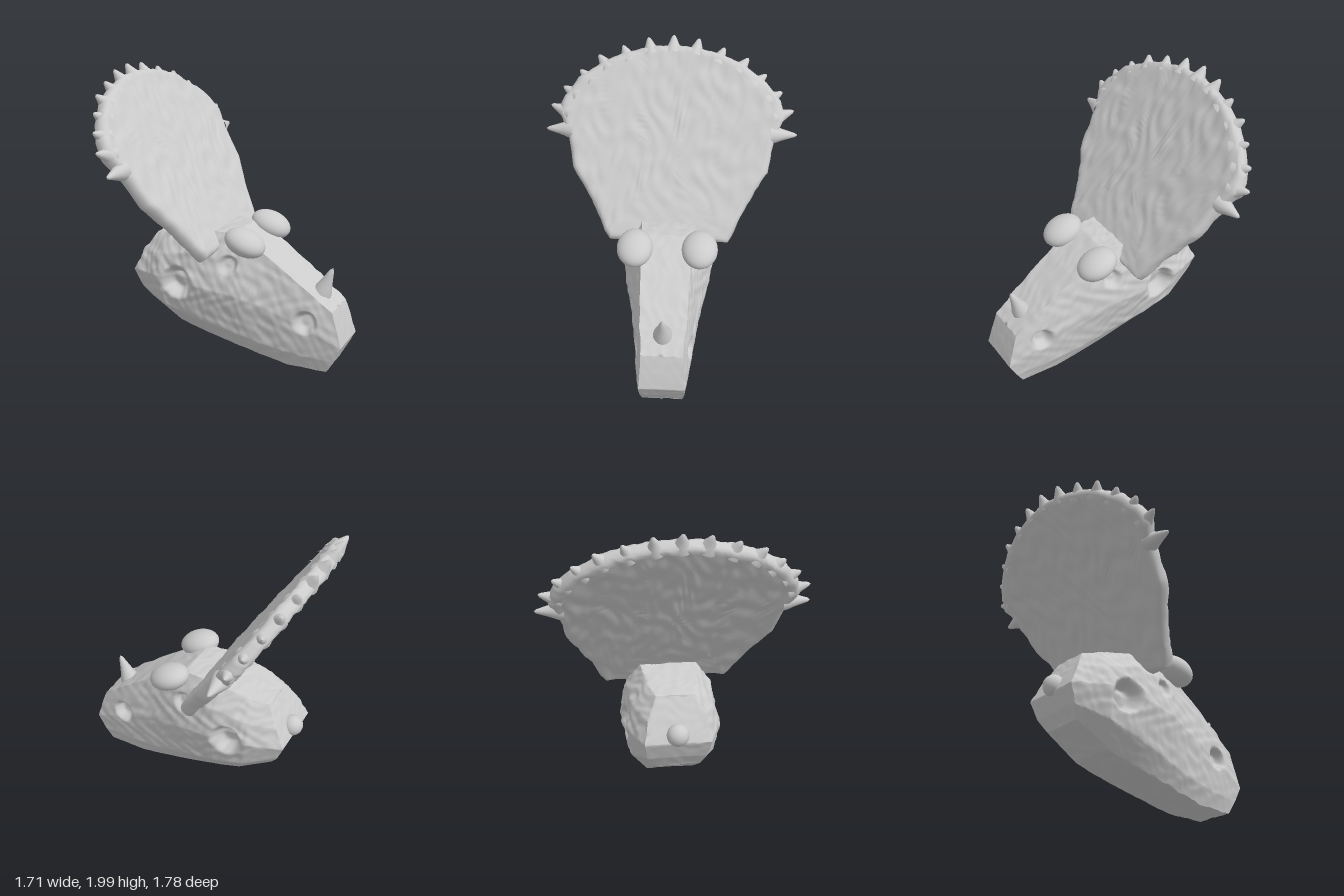
import * as THREE from 'three';
import { toCreasedNormals } from 'three/addons/utils/BufferGeometryUtils.js';

const grey = new THREE.MeshStandardMaterial({ color: 0xcccccc });
const V = (x, y, z) => new THREE.Vector3(x, y, z);

// Smooth pseudo-noise for the hand-worked bone surface
const bump = (x, y, z) =>
  Math.sin(31 * x + 3 * Math.sin(17 * y + 5 * z)) * Math.sin(29 * y + 3 * Math.sin(19 * z)) * 0.6 +
  Math.sin(53 * z + 3 * Math.sin(23 * x)) * Math.sin(47 * y + 37 * x + 2 * Math.sin(31 * z)) * 0.5;

// Skin a list of closed rings of equal length
function skin(rings, crease) {
  const n = rings[0].length, index = [];
  for (let i = 0; i < rings.length - 1; i++) {
    for (let j = 0; j < n; j++) {
      const a = i * n + j, b = i * n + (j + 1) % n;
      index.push(a, b, a + n, b, b + n, a + n);
    }
  }
  const geo = new THREE.BufferGeometry().setFromPoints(rings.flat());
  geo.setIndex(index);
  return toCreasedNormals(geo, crease);
}

// Split every edge of a closed polygon into equal steps
function subdivide(points, steps) {
  const out = [];
  points.forEach((p, i) => {
    const q = points[(i + 1) % points.length];
    for (let k = 0; k < steps; k++) out.push(p.clone().lerp(q, k / steps));
  });
  return out;
}

function add(parent, name, geo) {
  const mesh = new THREE.Mesh(geo, grey);
  mesh.name = name;
  parent.add(mesh);
  return mesh;
}

// Skull sections from back to snout: [x, y, half width] from top edge to bottom edge
const SECTIONS = [
  [[-0.55, 0.84, 0.13], [-0.63, 0.7, 0.19], [-0.7, 0.56, 0.22], [-0.65, 0.44, 0.2], [-0.6, 0.36, 0.16]],
  [[-0.42, 0.87, 0.17], [-0.45, 0.73, 0.27], [-0.46, 0.58, 0.32], [-0.42, 0.36, 0.28], [-0.35, 0.21, 0.17]],
  [[-0.2, 0.92, 0.19], [-0.2, 0.78, 0.29], [-0.2, 0.56, 0.335], [-0.2, 0.3, 0.28], [-0.2, 0.165, 0.17]],
  [[0.08, 0.93, 0.18], [0.08, 0.74, 0.26], [0.08, 0.52, 0.3], [0.08, 0.22, 0.24], [0.08, 0.1, 0.17]],
  [[0.32, 0.79, 0.17], [0.32, 0.66, 0.2], [0.32, 0.45, 0.24], [0.32, 0.15, 0.21], [0.32, 0.045, 0.16]],
  [[0.6, 0.59, 0.16], [0.6, 0.5, 0.18], [0.6, 0.33, 0.2], [0.6, 0.11, 0.18], [0.47, 0.012, 0.15]],
  [[0.78, 0.45, 0.14], [0.82, 0.33, 0.15], [0.855, 0.21, 0.16], [0.8, 0.1, 0.155], [0.75, 0.01, 0.14]],
];
// Side openings: x, y, radius, depth
const PITS = [[-0.31, 0.55, 0.13, 0.1], [0.06, 0.72, 0.075, 0.05], [0.6, 0.365, 0.09, 0.07]];

function skullGeometry() {
  const loops = SECTIONS.map(s => subdivide([
    ...s.map(([x, y, w]) => V(x, y, w)),
    ...s.slice().reverse().map(([x, y, w]) => V(x, y, -w)),
  ], 20));
  const rings = [];
  const cap = (loop, t) => loop.map(p => V(p.x, p.y, p.z * t));
  for (let t = 0; t < 10; t++) rings.push(cap(loops[0], t / 10));
  for (let i = 0; i < loops.length - 1; i++) {
    for (let k = 0; k < 24; k++) rings.push(loops[i].map((p, j) => p.clone().lerp(loops[i + 1][j], k / 24)));
  }
  for (let t = 10; t >= 0; t--) rings.push(cap(loops[loops.length - 1], t / 10));

  for (const p of rings.flat()) {
    const b = bump(p.x, p.y, p.z);
    // Press the openings into both cheeks
    if (Math.abs(p.z) > 0.12) {
      for (const [x, y, r, depth] of PITS) {
        const d = Math.hypot(p.x - x, p.y - y) / r;
        p.z -= Math.sign(p.z) * depth * (1 - THREE.MathUtils.smoothstep(d, 0.4, 1));
      }
    }
    p.z *= 1 + 0.025 * b;
    p.y = Math.max(0, p.y + 0.005 * b);
  }
  return skin(rings, 0.9);
}

// Half outline of the frill: [z, distance up the frill]
const FRILL = [[0, 1.38], [0.17, 1.36], [0.34, 1.32], [0.5, 1.25], [0.66, 1.13], [0.76, 1.01], [0.8, 0.89],
  [0.73, 0.74], [0.69, 0.5], [0.55, 0.27], [0.45, 0.05], [0.42, 0], [0, 0]];

function frillGeometry() {
  const half = FRILL.map(([z, s]) => V(0, s, z));
  const mirror = half.slice(1, -1).reverse().map(p => V(0, p.y, -p.z));
  const outline = subdivide([...half, ...mirror], 7);
  const centre = V(0, 0.68, 0);
  // Scale and offset of each ring: back face, rounded rim, front face
  const profile = [];
  for (let i = 0; i <= 30; i++) profile.push([0.96 * i / 30, -0.052]);
  profile.push([0.985, -0.042], [1, -0.02], [1, 0.02], [0.985, 0.042]);
  for (let i = 30; i >= 0; i--) profile.push([0.96 * i / 30, 0.052]);
  const rings = profile.map(([k, h]) => outline.map(p => {
    const q = centre.clone().lerp(p, k);
    const b = bump(q.z + h, q.y * 0.6, q.z * 0.8 + h);
    return V(h + 0.007 * b, q.y + 0.006 * b * k, q.z + 0.006 * b * k);
  }));
  return skin(rings, 1.2);
}

// Pointed horn along +y with a flared base
function hornGeometry(radius, length) {
  const profile = [[1.3, -0.35], [1.15, -0.1], [0.88, 0.15], [0.66, 0.4], [0.46, 0.65], [0.27, 0.88], [0, 1]];
  return new THREE.LatheGeometry(profile.map(([r, h]) => new THREE.Vector2(r * radius, h * length)), 16);
}

// Spikes on the frill rim: [tip z, tip distance up, length, radius]
const SPIKES = [[0, 1.45, 0.09, 0.05], [0.18, 1.43, 0.09, 0.05], [0.36, 1.37, 0.09, 0.05], [0.53, 1.3, 0.09, 0.05],
  [0.66, 1.19, 0.09, 0.05], [0.775, 1.07, 0.09, 0.05], [0.86, 0.94, 0.11, 0.05], [0.89, 0.77, 0.14, 0.052]];

export function createModel() {
  const model = new THREE.Group();
  model.name = 'hornedSkull';

  add(model, 'skull', skullGeometry());

  // Frill leaning back, with its rim spikes
  const frill = new THREE.Group();
  frill.name = 'frill';
  frill.position.set(-0.046, 0.793, 0);
  frill.rotation.z = 0.588;
  model.add(frill);
  add(frill, 'frillPlate', frillGeometry());
  SPIKES.forEach(([z, s, length, radius], i) => {
    for (const side of z ? [1, -1] : [1]) {
      const dir = V(0, i === SPIKES.length - 1 ? 0 : s - 0.6, z * side).normalize();
      const spike = add(frill, 'frillSpike', hornGeometry(radius, length));
      spike.position.set(0, s, z * side).addScaledVector(dir, -length);
      spike.quaternion.setFromUnitVectors(V(0, 1, 0), dir);
    }
  });

  // Brow bosses
  for (const side of [1, -1]) {
    const brow = add(model, side > 0 ? 'rightBrow' : 'leftBrow', new THREE.SphereGeometry(1, 32, 20));
    brow.scale.set(0.147, 0.088, 0.125);
    brow.rotation.z = -0.35;
    brow.position.set(0.172, 0.888, side > 0 ? 0.22 : -0.23);
  }

  // Nose horn
  const horn = add(model, 'noseHorn', hornGeometry(0.055, 0.16));
  horn.position.set(0.67, 0.57, 0);
  horn.rotation.z = -0.38;

  // Rounded knob at the back of the skull
  const knob = add(model, 'neckKnob', new THREE.SphereGeometry(0.075, 24, 16));
  knob.position.set(-0.672, 0.61, 0);

  return model;
}
